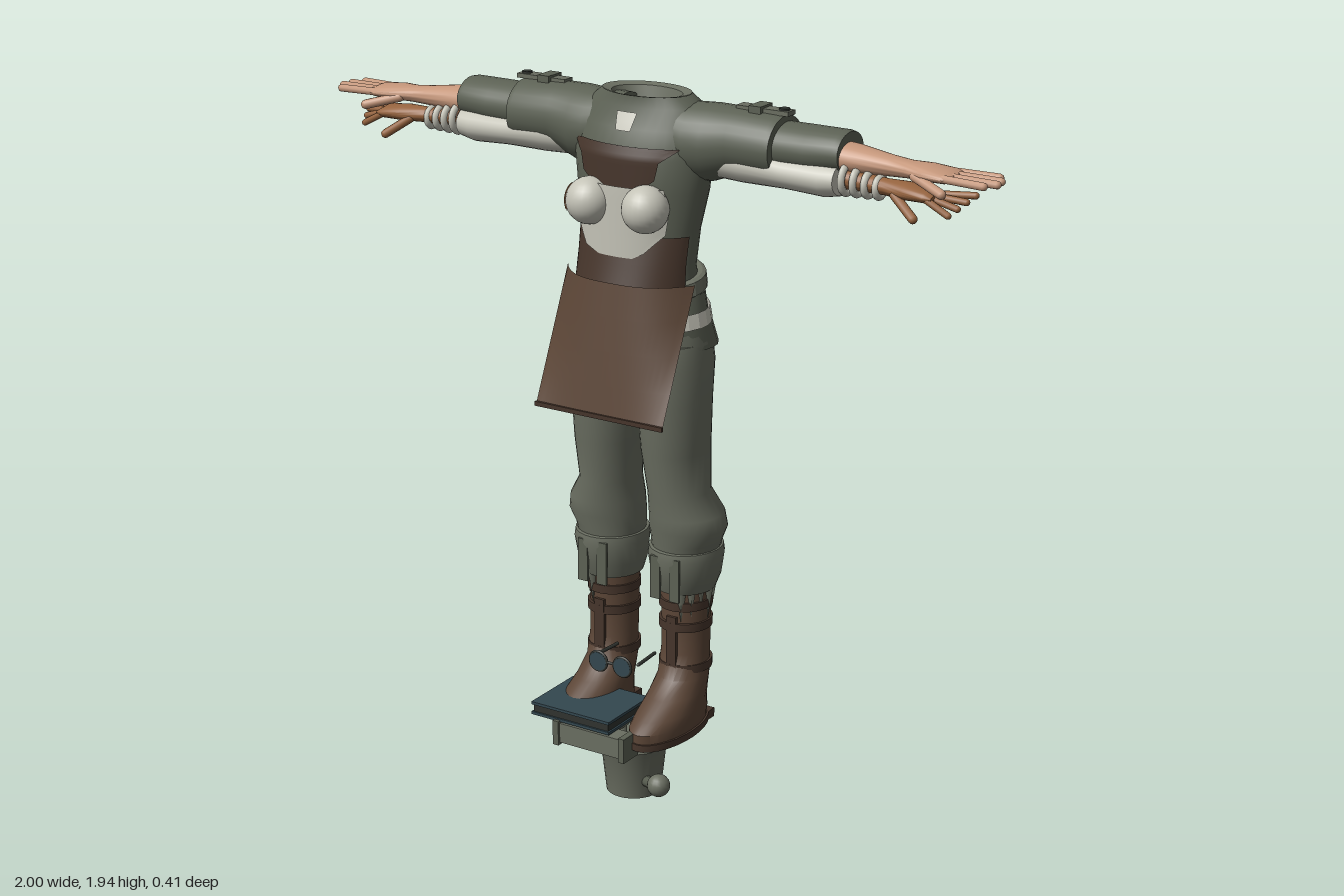
import * as THREE from 'three';
import { toCreasedNormals } from 'three/addons/utils/BufferGeometryUtils.js';

const paint = (name, color, side = THREE.DoubleSide) => {
  const m = new THREE.MeshStandardMaterial({ color, side });
  m.name = name;
  return m;
};

// Skin over elliptical rings [y, cx, cz, rx, rz], listed from bottom to top.
function loft(rings, { cap = true, a0 = 0, arc = Math.PI * 2, n = 28 } = {}) {
  const pos = [], idx = [], full = arc > 6.28, w = full ? n : n + 1;
  for (const [y, cx, cz, rx, rz] of rings)
    for (let i = 0; i < w; i++) {
      const a = a0 + (arc * i) / n;
      pos.push(cx + rx * Math.sin(a), y, cz + rz * Math.cos(a));
    }
  for (let j = 0; j < rings.length - 1; j++)
    for (let i = 0; i < n; i++) {
      const a = j * w + i, b = j * w + ((i + 1) % w);
      idx.push(a, b, b + w, a, b + w, a + w);
    }
  if (cap && full)
    for (const j of [0, rings.length - 1]) {
      const c = pos.length / 3, [y, cx, cz] = rings[j];
      pos.push(cx, y, cz);
      for (let i = 0; i < n; i++) {
        const a = j * w + i, b = j * w + ((i + 1) % w);
        idx.push(...(j ? [a, b, c] : [b, a, c]));
      }
    }
  const g = new THREE.BufferGeometry();
  g.setAttribute('position', new THREE.Float32BufferAttribute(pos, 3));
  g.setIndex(idx);
  return toCreasedNormals(g, 0.7);
}

// Same skin running along +x; rings are [x, cy, cz, ry, rz].
const loftX = (rings, o) =>
  loft(rings.map(([x, cy, cz, ry, rz]) => [x, -cy, cz, ry, rz]), o).rotateZ(-Math.PI / 2);

// Round-ended bar between two points.
function rod(a, b, r) {
  const p = new THREE.Vector3(...a), d = new THREE.Vector3(...b).sub(p);
  const g = new THREE.CapsuleGeometry(r, d.length(), 4, 10);
  g.applyQuaternion(new THREE.Quaternion().setFromUnitVectors(new THREE.Vector3(0, 1, 0), d.clone().normalize()));
  return g.translate(...p.addScaledVector(d, 0.5).toArray());
}

const box = (w, h, d, x, y, z) => new THREE.BoxGeometry(w, h, d).translate(x, y, z);

function mirrored(geo) {
  const g = geo.index ? geo.toNonIndexed() : geo.clone();
  g.scale(-1, 1, 1);
  for (const k of ['position', 'normal']) {
    const t = g.attributes[k], u = new THREE.Vector3(), v = new THREE.Vector3();
    for (let i = 0; i < t.count; i += 3) {
      u.fromBufferAttribute(t, i + 1); v.fromBufferAttribute(t, i + 2);
      t.setXYZ(i + 1, v.x, v.y, v.z); t.setXYZ(i + 2, u.x, u.y, u.z);
    }
  }
  return g;
}

const TORSO = [
  [1.4, 0, -.04, .172, .11], [1.5, 0, -.03, .16, .1], [1.6, 0, -.037, .168, .108],
  [1.7, 0, -.045, .188, .117], [1.79, 0, -.047, .198, .118], [1.86, 0, -.058, .192, .104],
  [1.91, 0, -.068, .165, .09], [1.94, 0, -.062, .125, .082]];

// Height of the chest surface at (x, y).
function chestZ(x, y) {
  const j = Math.max(1, TORSO.findIndex(r => r[0] >= y)), p = TORSO[j - 1], q = TORSO[j];
  const t = (y - p[0]) / (q[0] - p[0]), m = k => p[k] + (q[k] - p[k]) * t;
  return m(2) + m(4) * Math.sqrt(Math.max(0, 1 - (x / m(3)) ** 2));
}

// Grid sheet from a function of u, v in 0..1.
function sheet(f, nu, nv) {
  const g = new THREE.PlaneGeometry(1, 1, nu, nv), p = g.attributes.position;
  for (let i = 0; i < p.count; i++) p.setXYZ(i, ...f(p.getX(i) + .5, p.getY(i) + .5));
  g.computeVertexNormals();
  return g;
}

// Cloth patch hugging the chest; rows are [y, xMin, xMax] from bottom to top.
const patch = (rows, off) => sheet((u, v) => {
  const k = v * (rows.length - 1), j = Math.min(rows.length - 2, Math.floor(k)), t = k - j;
  const [y, x0, x1] = rows[j].map((a, i) => a + (rows[j + 1][i] - a) * t);
  const x = x0 + (x1 - x0) * u;
  return [x, y, chestZ(x, y) + off];
}, 16, (rows.length - 1) * 4);

export function createModel() {
  const model = new THREE.Group();
  const shirt = paint('shirt green', 0x5c6154), trousers = paint('trouser grey', 0x6a6e61);
  const leather = paint('leather', 0x5c4637), dark = paint('dark leather', 0x46352b);
  const skin = paint('skin', 0xc4967a), tan = paint('tan glove', 0x96643f);
  const cream = paint('cream cloth', 0xc4c3b7), slate = paint('slate', 0x33474f);
  const iron = paint('iron', 0x30332f);
  const add = (name, geo, mat) => {
    const m = new THREE.Mesh(geo, mat);
    m.name = name;
    model.add(m);
  };
  const pair = (name, geo, mat) => {
    add(name + 'Left', geo, mat);
    add(name + 'Right', mirrored(geo), mat);
  };
  const tilt = (g, s) => {
    const p = g.attributes.position;
    for (let i = 0; i < p.count; i++) p.setY(i, p.getY(i) - s * p.getZ(i));
    g.computeVertexNormals();
    return g;
  };

  // Shirt, open neck and collar
  add('torso', loft(TORSO, { cap: false, n: 40 }), shirt);
  add('collar', loft([[1.88, 0, -.06, .085, .055], [1.935, 0, -.062, .1, .066], [1.941, 0, -.062, .126, .083]], { cap: false }), trousers);
  add('neckLining', loft([[1.875, 0, -.06, .088, .058], [1.885, 0, -.06, .088, .058]]), shirt);
  add('neckPlacket', patch([[1.855, -.022, .022], [1.9, -.03, .03]], .006), cream);

  // Chest cloth and bust
  add('chestPatch', patch([[1.62, -.02, .02], [1.7, -.06, .05], [1.74, -.12, .1], [1.785, -.13, .11],
    [1.815, -.165, .15], [1.82, -.13, .155], [1.81, -.1, .12]], .006), dark);
  add('bodice', patch([[1.535, -.05, .05], [1.55, -.1, .08], [1.6, -.13, .13], [1.66, -.14, .14], [1.72, -.1, .13]], .022), cream);
  pair('bust', new THREE.SphereGeometry(.062, 24, 16).translate(.085, 1.668, .078), cream);
  add('bustPatch', new THREE.SphereGeometry(.064, 12, 12, -.5, 1.2, .9, 1.1).translate(-.086, 1.668, .078), tan);
  add('corset', loft([[1.45, 0, -.02, .172, .135], [1.52, 0, -.025, .17, .12], [1.59, 0, -.035, .172, .113]],
    { cap: false, a0: -1.3, arc: 2.6 }), dark);

  // Waist: belt, lining and flared hem
  add('belt', tilt(loft([[1.425, 0, -.04, .178, .112], [1.43, 0, -.04, .186, .12], [1.465, 0, -.04, .182, .116], [1.47, 0, -.04, .172, .108]]), .2), trousers);
  add('shirtHem', loft([[1.34, 0, -.045, .192, .124], [1.43, 0, -.045, .176, .115]], { cap: false }), shirt);
  add('hemLining', tilt(loft([[1.345, 0, -.045, .197, .13], [1.385, 0, -.045, .19, .124]], { cap: false }), .1), cream);
  add('waistFlap', loft([[1.285, 0, -.066, .202, .138], [1.3, 0, -.062, .2, .136], [1.355, 0, -.047, .195, .125]], { cap: false }), shirt);

  // Apron: curved along the waist, flat at its lower edge
  add('apron', sheet((u, v) => {
    const x = (u - .5) * .39, s = Math.abs(2 * u - 1);
    return [x, 1.12 + .35 * v, .17 - v * (.055 + .1 * s ** 3)];
  }, 24, 4), leather);
  add('apronHem', box(.392, .012, .008, 0, 1.126, .17), dark);

  // Trousers
  add('pelvis', loft([[1.16, 0, -.04, .12, .08], [1.22, 0, -.042, .185, .112], [1.3, 0, -.044, .198, .122], [1.41, 0, -.04, .174, .108]]), trousers);
  pair('trouserLeg', loft([[.66, .115, -.075, .08, .09], [.74, .12, -.075, .095, .098], [.78, .128, -.07, .105, .104],
    [.82, .125, -.066, .1, .105], [.88, .108, -.055, .08, .095], [1, .105, -.042, .088, .104],
    [1.14, .102, -.038, .097, .11], [1.24, .102, -.042, .097, .12], [1.3, .102, -.044, .09, .11]]), trousers);
  pair('trouserCuff', loft([[.595, .115, -.08, .062, .07], [.6, .115, -.08, .078, .086], [.64, .117, -.078, .092, .1],
    [.7, .118, -.076, .1, .11], [.722, .118, -.076, .097, .107], [.725, .118, -.076, .08, .09]]), trousers);
  for (const x of [.085, .145]) pair('cuffStrap', box(.03, .12, .008, x, .65, .026), shirt);

  // Boots with soles, straps and frayed tops
  pair('boot', loft([[.215, .118, .01, .073, .157], [.25, .118, .01, .075, .158], [.275, .118, -.005, .072, .14],
    [.31, .116, -.04, .069, .105], [.35, .115, -.07, .067, .078], [.42, .115, -.08, .066, .067],
    [.52, .115, -.082, .066, .07], [.64, .115, -.083, .067, .075]]), leather);
  pair('sole', loft([[.205, .12, .01, .077, .162], [.225, .12, .01, .077, .162]]), dark);
  pair('heel', box(.1, .025, .09, .118, .212, -.1), dark);
  for (const y of [.38, .5, .56])
    pair('bootStrap', loft([[y - .012, .115, -.08, .071, .077], [y + .012, .115, -.08, .071, .077]]), dark);
  pair('bootTongue', box(.03, .2, .012, .115, .43, -.01), dark);
  for (let i = 0; i < 7; i++) {
    const a = .4 + i * .4;
    pair('frayedSock', new THREE.ConeGeometry(.014, .09, 5).rotateX(Math.PI)
      .translate(.115 + .066 * Math.sin(a), .56 + .015 * (i % 3), -.083 + .075 * Math.cos(a)), trousers);
  }

  // Sleeves and shoulder tabs
  pair('sleeve', loftX([[.06, 1.84, -.065, .085, .08], [.15, 1.825, -.072, .1, .098], [.2, 1.826, -.08, .1, .1],
    [.27, 1.838, -.085, .086, .093], [.38, 1.838, -.085, .083, .094], [.395, 1.838, -.085, .08, .09], [.396, 1.838, -.085, .06, .07]]), shirt);
  pair('sleeveCuff', loftX([[.38, 1.84, -.092, .062, .078], [.48, 1.842, -.094, .06, .076], [.56, 1.847, -.094, .055, .072],
    [.575, 1.847, -.094, .052, .068], [.576, 1.847, -.094, .04, .05]]), shirt);
  pair('shoulderTab', box(.15, .012, .036, .335, 1.925, -.088), trousers);
  pair('tabLoop', box(.035, .024, .06, .32, 1.925, -.088), shirt);
  pair('tabButton', new THREE.CylinderGeometry(.014, .014, .012, 12).translate(.39, 1.93, -.088), iron);

  // Ragged under-sleeves
  pair('underSleeve', loftX([[.2, 1.79, -.075, .05, .06], [.3, 1.792, -.075, .055, .075], [.42, 1.785, -.078, .047, .075],
    [.53, 1.782, -.08, .05, .075], [.57, 1.785, -.08, .045, .068]]), cream);
  for (let i = 0; i < 4; i++)
    pair('sleeveRuffle', new THREE.TorusGeometry(.036 - i * .004, .01, 8, 18).rotateY(Math.PI / 2)
      .translate(.59 + i * .03, 1.79 - i * .003, -.058), cream);

  // Bare forearms and hands
  pair('forearm', loftX([[.5, 1.838, -.085, .043, .055], [.6, 1.836, -.085, .037, .05], [.7, 1.833, -.082, .026, .036],
    [.75, 1.832, -.08, .022, .036], [.8, 1.832, -.08, .021, .052], [.86, 1.83, -.08, .017, .054], [.88, 1.83, -.08, .008, .046]]), skin);
  [[.965, -.135], [.985, -.102], [.99, -.07], [.97, -.037]].forEach(([x, z], i) =>
    pair('finger', rod([.86, 1.831, -.12 + i * .027], [x, 1.828, z], .0105), skin));
  pair('thumb', rod([.78, 1.825, -.045], [.87, 1.8, -.012], .013), skin);

  // Second, gloved hands beneath
  pair('gloveWrist', loftX([[.58, 1.79, -.058, .026, .03], [.7, 1.786, -.055, .021, .025], [.76, 1.785, -.052, .022, .04],
    [.82, 1.782, -.052, .018, .042], [.84, 1.78, -.052, .008, .035]]), tan);
  for (let i = 0; i < 4; i++)
    pair('gloveFinger', rod([.82, 1.78, -.08 + i * .019], [.92 - .012 * i, 1.785 - .013 * i, -.1 + i * .025], .009), tan);
  pair('gloveThumb', rod([.735, 1.775, -.03], [.8, 1.73, -.005], .012), tan);

  // Bucket with its posts and side lever
  add('bucket', loft([[0, 0, 0, .075, .075], [.135, 0, 0, .09, .09], [.14, 0, 0, .093, .093], [.146, 0, 0, .09, .09]]), trousers);
  for (const z of [-.05, .05]) add('bucketPost', rod([0, .13, z], [0, .215, z], .009), trousers);
  add('postBar', rod([0, .21, -.06], [0, .21, .17], .009), trousers);
  add('lever', rod([.06, .045, .03], [.19, .115, .165], .016), shirt);
  add('leverKnob', new THREE.SphereGeometry(.031, 16, 12).translate(.19, .125, .172), trousers);

  // Flat book and the roller below it
  add('bookCover', box(.25, .008, .2, -.075, .279, .1), slate);
  add('bookPages', box(.24, .022, .19, -.075, .264, .1), iron);
  add('bookBack', box(.25, .008, .2, -.075, .25, .1), slate);
  add('roller', box(.2, .056, .056, -.01, .215, .175), trousers);
  for (const x of [-.115, .095]) add('rollerEnd', box(.018, .07, .07, x, .215, .175), shirt);

  // Spectacles between the boots
  pair('lens', new THREE.CylinderGeometry(.026, .026, .008, 20).rotateX(Math.PI / 2).translate(.038, .41, .115), slate);
  pair('lensRim', new THREE.TorusGeometry(.027, .004, 8, 24).translate(.038, .41, .115), iron);
  add('bridge', rod([-.015, .412, .115], [.015, .412, .115], .004), iron);
  pair('temple', rod([.066, .41, .08], [.06, .41, -.01], .005), iron);
  return model;
}
